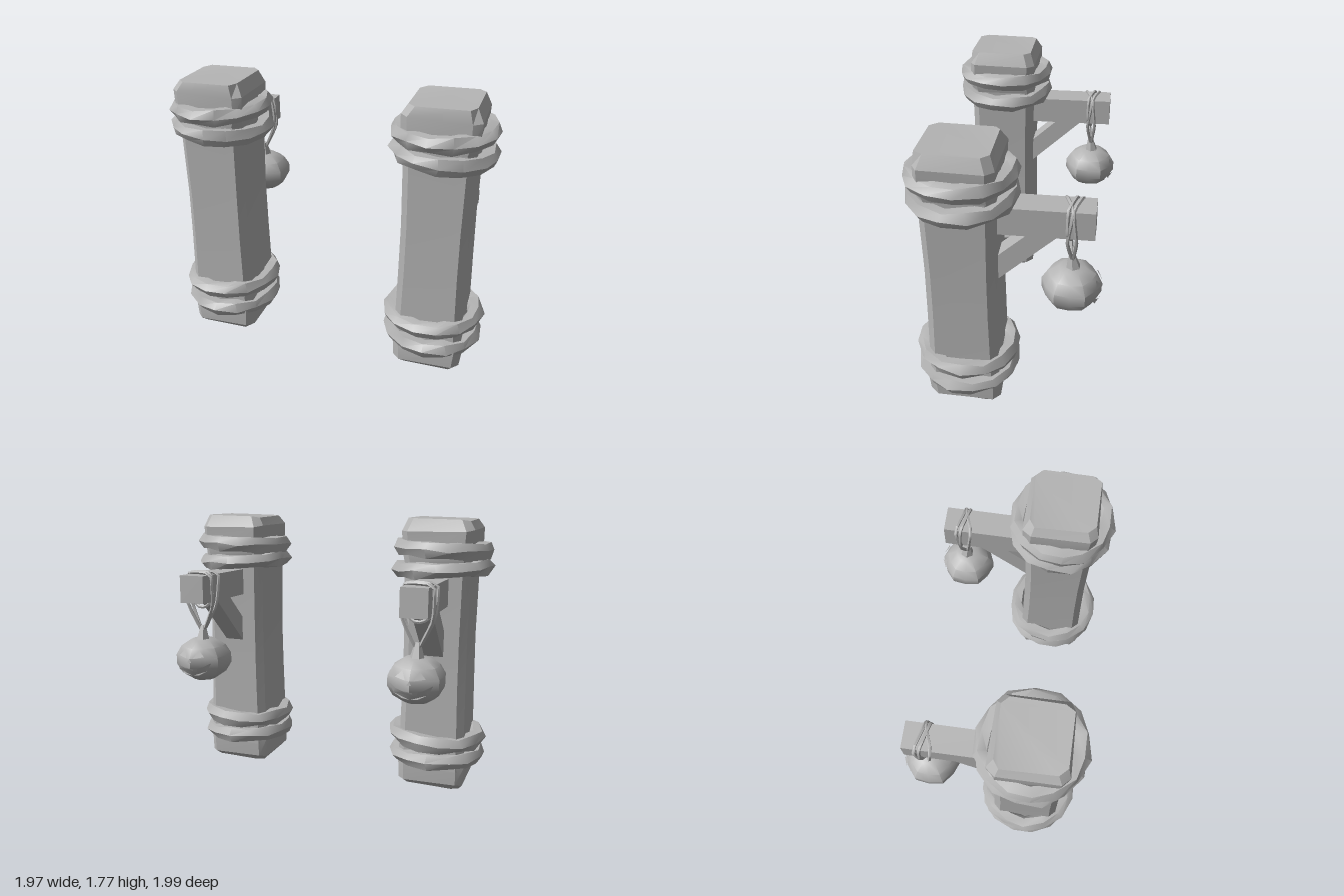
import * as THREE from 'three';
import { toCreasedNormals } from 'three/addons/utils/BufferGeometryUtils.js';

const stone = new THREE.MeshStandardMaterial({ color: 0xb4b4b4 });
stone.name = 'plain grey';

function add(group, name, geometry, crease = 0.6) {
  const mesh = new THREE.Mesh(toCreasedNormals(geometry, crease), stone);
  mesh.name = name;
  group.add(mesh);
  return mesh;
}

// Moves vertices by a rule that depends only on position, so seams stay closed
function roughen(geometry, amount, seed) {
  const p = geometry.attributes.position;
  const wave = (x, y, z, k) => Math.sin(x * 17 + y * 41 + z * 23 + seed * 3.7 + k * 2.1);
  for (let i = 0; i < p.count; i++) {
    const [x, y, z] = [p.getX(i), p.getY(i), p.getZ(i)];
    p.setXYZ(i, x + amount * wave(x, y, z, 0), y + amount * wave(x, y, z, 1), z + amount * wave(x, y, z, 2));
  }
  return geometry;
}

// Square column with cut corners, lofted through [height, half width, corner cut]
function column(levels) {
  const pos = [], idx = [];
  for (const [y, h, c] of levels) {
    const k = h - c;
    for (const [x, z] of [[h, k], [h, -k], [k, -h], [-k, -h], [-h, -k], [-h, k], [-k, h], [k, h]]) pos.push(x, y, z);
  }
  const last = (levels.length - 1) * 8;
  for (let l = 0; l < last; l += 8) {
    for (let i = 0; i < 8; i++) {
      const a = l + i, b = l + (i + 1) % 8;
      idx.push(a, b, b + 8, a, b + 8, a + 8);
    }
  }
  for (let i = 1; i < 7; i++) idx.push(last, last + i, last + i + 1, 0, i + 1, i);
  const g = new THREE.BufferGeometry();
  g.setAttribute('position', new THREE.Float32BufferAttribute(pos, 3));
  g.setIndex(idx);
  return g;
}

// Rope following a closed loop of [along, up, across] points
function ropeLoop(points, radius) {
  const curve = new THREE.CatmullRomCurve3(points.map(p => new THREE.Vector3(...p)), true, 'catmullrom', 0.2);
  return new THREE.TubeGeometry(curve, 20, radius, 5, true);
}

// Ribbed, flattened pumpkin centred on its own origin
function pumpkinBody(radius, height) {
  const g = new THREE.SphereGeometry(1, 12, 7);
  const p = g.attributes.position;
  for (let i = 0; i < p.count; i++) {
    const x = p.getX(i), y = p.getY(i), z = p.getZ(i);
    const rib = 1 + 0.03 * (Math.cos(6 * Math.atan2(z, x)) - 1);
    const dip = Math.abs(y) > 0.98 ? 0.93 : 1;
    p.setXYZ(i, x * radius * rib, y * height * dip, z * radius * rib);
  }
  return g;
}

// Flat outline wrapped onto the +x side of the pumpkin
function facePatch(points, radius, height) {
  const g = new THREE.ShapeGeometry(new THREE.Shape(points.map(([x, y]) => new THREE.Vector2(x, y))));
  const p = g.attributes.position;
  for (let i = 0; i < p.count; i++) {
    const x = p.getX(i), y = p.getY(i);
    const d = Math.sqrt(Math.max(0, 1 - (x / radius) ** 2 - (y / height) ** 2));
    p.setXYZ(i, radius * d + 0.003, y, -x);
  }
  return g;
}

function hangingPumpkin() {
  const g = new THREE.Group();
  g.name = 'hangingPumpkin';
  const R = 0.182, H = 0.145;
  add(g, 'pumpkinBody', pumpkinBody(R, H), 0.7);
  const stem = add(g, 'pumpkinStem', new THREE.CylinderGeometry(0.018, 0.05, 0.11, 6));
  stem.position.set(0, 0.165, 0);
  stem.rotation.z = 0.12;
  // Carved face
  for (const s of [-1, 1]) {
    const eye = [[0.025, 0.035], [0.09, 0.045], [0.05, 0.085]].map(([x, y]) => [x * s, y]);
    add(g, 'pumpkinEye', facePatch(eye, R, H));
  }
  add(g, 'pumpkinNose', facePatch([[-0.015, 0.008], [0.015, 0.008], [0, 0.032]], R, H));
  add(g, 'pumpkinMouth', facePatch([
    [-0.13, 0.005], [-0.1, -0.05], [-0.05, -0.078], [0, -0.085], [0.05, -0.078], [0.1, -0.05], [0.13, 0.005],
    [0.085, -0.018], [0.05, -0.03], [0.045, -0.05], [0.02, -0.052], [0.02, -0.035],
    [-0.03, -0.033], [-0.085, -0.018]], R, H));
  return g;
}

// One post; its arm points along local +x
function post() {
  const g = new THREE.Group();
  g.name = 'post';

  // Shaft and its thicker ends
  add(g, 'shaft', column([
    [0.14, 0.222, 0.045], [0.4, 0.214, 0.043], [0.7, 0.209, 0.045],
    [1.0, 0.205, 0.043], [1.4, 0.21, 0.043], [1.6, 0.212, 0.045]]), 0.5);
  add(g, 'foot', roughen(column([
    [0.008, 0.19, 0.04], [0.04, 0.222, 0.045], [0.17, 0.226, 0.043], [0.24, 0.215, 0.045]]), 0.007, 1), 0.4);
  add(g, 'cap', roughen(column([
    [1.5, 0.215, 0.045], [1.57, 0.222, 0.045], [1.7, 0.224, 0.045], [1.768, 0.2, 0.045]]), 0.008, 2), 0.4);

  // Thick rope rings, two near each end
  [[0.205, 0.02], [0.335, -0.02], [1.457, 0.025], [1.582, -0.02]].forEach(([y, tilt], i) => {
    const torus = new THREE.TorusGeometry(0.272, 0.055, 6, 14).rotateX(Math.PI / 2);
    const ring = add(g, 'ring', roughen(torus, 0.008, i + 3), 0.7);
    ring.position.y = y;
    ring.rotation.set(tilt, i * 0.7, tilt);
  });

  // Arm and diagonal brace
  const arm = add(g, 'arm', new THREE.BoxGeometry(0.64, 0.175, 0.165));
  arm.position.set(0.43, 1.325, 0);
  arm.rotation.z = 0.02;
  const profile = new THREE.Shape([[0.18, 0.88], [0.57, 1.26], [0.4, 1.26], [0.18, 1.05]]
    .map(([x, y]) => new THREE.Vector2(x, y)));
  add(g, 'brace', new THREE.ExtrudeGeometry(profile, { depth: 0.13, bevelEnabled: false }).translate(0, 0, -0.065));

  // Ropes over the arm, meeting at the stem
  for (const [d, lean] of [[0.6, 0.025], [0.65, -0.02]]) {
    add(g, 'hangingRope', ropeLoop([
      [0.63, 1.04, 0.005], [d, 1.22, 0.09], [d + lean, 1.4, 0.1], [d + lean, 1.428, 0.07],
      [d - lean, 1.428, -0.07], [d - lean, 1.4, -0.1], [d, 1.22, -0.09], [0.63, 1.04, -0.005]], 0.011), 1.2);
  }
  add(g, 'wrappedRope', ropeLoop([
    [0.6, 1.425, 0.08], [0.64, 1.425, -0.08], [0.65, 1.27, -0.098], [0.63, 1.205, -0.03],
    [0.62, 1.205, 0.03], [0.6, 1.27, 0.098]], 0.011), 1.2);

  const pumpkin = hangingPumpkin();
  pumpkin.position.set(0.63, 0.862, 0);
  g.add(pumpkin);
  return g;
}

export function createModel() {
  const model = new THREE.Group();
  model.name = 'pumpkinPosts';
  for (const [x, z] of [[-0.65, -0.37], [0.36, 0.66]]) {
    const p = post();
    p.position.set(x, 0, z);
    p.rotation.y = Math.PI / 4;
    model.add(p);
  }
  return model;
}
